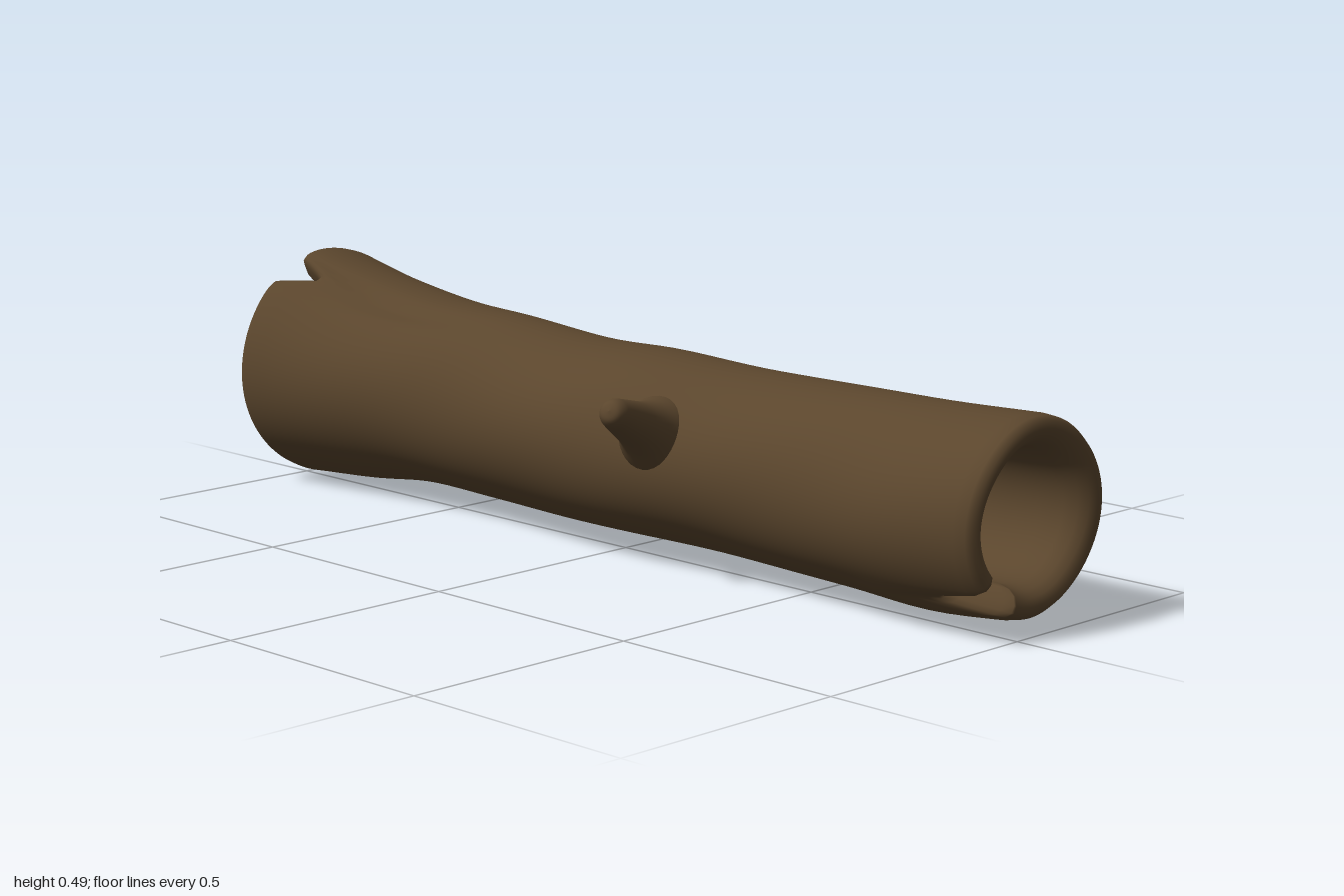
import * as THREE from 'three';

const bark = new THREE.MeshStandardMaterial({ color: 0x5b462d });
bark.name = 'bark brown';

// Outer limits of the trunk along z: left, right, bottom, top
const stations = [-1, -0.8, -0.6, -0.4, -0.15, 0.05, 0.3, 0.6, 0.8, 1];
const limits = [
  -0.19, 0.302, 0.0, 0.5,
  -0.165, 0.288, 0.013, 0.455,
  -0.14, 0.265, 0.033, 0.428,
  -0.12, 0.247, 0.027, 0.42,
  -0.137, 0.247, 0.028, 0.402,
  -0.15, 0.247, 0.03, 0.408,
  -0.13, 0.246, 0.03, 0.396,
  -0.128, 0.244, 0.02, 0.4,
  -0.143, 0.243, 0.017, 0.402,
  -0.135, 0.25, 0.032, 0.408,
];
const spline = new THREE.CubicInterpolant(stations, limits, 4, new Float32Array(4));

const angleGap = (a, b) => Math.atan2(Math.sin(a - b), Math.cos(a - b));
const bell = (d, width) => Math.exp(-((d / width) ** 2));
const FRONT_SPLIT = 4.05, BACK_SPLIT = 2.04;

// Dents, ridges and creases added to the radius
function relief(a, z, inner) {
  const back = THREE.MathUtils.smoothstep(-z, 0.3, 1);
  let d = -0.024 * back * bell(angleGap(a, BACK_SPLIT), 0.16);
  if (inner) return d - 0.015 * back * bell(angleGap(a, BACK_SPLIT), 0.3);
  d -= 0.04 * bell(angleGap(a, -0.42), 0.34) * bell(z + 0.03, 0.17);
  d += 0.032 * bell(angleGap(a, -0.95), 0.2) * bell(z + 0.03, 0.15);
  d -= 0.01 * bell(angleGap(a, 0.82), 0.1) * bell(z, 0.4);
  d += 0.006 * bell(angleGap(a, 0.5), 0.18) * bell(z, 0.45);
  return d + 0.002 * Math.sin(3 * a + 5 * z) * Math.sin(7 * z + a);
}

// V-shaped split at each end, pulled in along z
function split(a, z) {
  const [centre, width, depth] = z > 0 ? [FRONT_SPLIT, 0.22, 0.12] : [BACK_SPLIT, 0.2, 0.09];
  const v = THREE.MathUtils.clamp(1.25 * (1 - Math.abs(angleGap(a, centre)) / width), 0, 1);
  return -Math.sign(z) * depth * v * THREE.MathUtils.smoothstep(Math.abs(z), 0.6, 1);
}

// Hollow trunk: one closed sweep over bark, back lip, bore and front lip
function trunkGeometry() {
  const rows = []; // [z, inset from the bark, is bore]
  const n = 48;
  for (let i = 0; i <= n; i++) rows.push([0.96 - (1.93 * i) / n, 0, false]);
  rows.push([-0.985, 0.003, false], [-0.994, 0.012, false], [-0.995, 0.022, false],
    [-0.99, 0.034, true], [-0.975, 0.043, true], [-0.94, 0.05, true]);
  for (let i = 0; i <= 30; i++) {
    const z = -0.9 + (1.8 * i) / 30;
    rows.push([z, 0.053 + 0.013 * THREE.MathUtils.smoothstep(z, -0.9, -0.3), true]);
  }
  rows.push([0.95, 0.063, true], [0.975, 0.054, true], [0.99, 0.042, true],
    [0.998, 0.026, false], [0.997, 0.012, false], [0.985, 0.003, false]);

  const segments = 160, position = [], index = [];
  rows.forEach(([z, inset, inner], i) => {
    const [left, right, bottom, top] = spline.evaluate(z);
    for (let j = 0; j < segments; j++) {
      const a = (j / segments) * Math.PI * 2;
      const r = relief(a, z, inner) - inset;
      position.push(
        (left + right) / 2 + ((right - left) / 2 + r) * Math.cos(a),
        (bottom + top) / 2 + ((top - bottom) / 2 + r) * Math.sin(a),
        z + split(a, z) + 0.004 * Math.sin(3 * a + 1) * THREE.MathUtils.smoothstep(Math.abs(z), 0.9, 1));
      const next = (j + 1) % segments, row = i * segments, row2 = ((i + 1) % rows.length) * segments;
      index.push(row + j, row2 + j, row + next, row + next, row2 + j, row2 + next);
    }
  });
  const g = new THREE.BufferGeometry();
  g.setAttribute('position', new THREE.Float32BufferAttribute(position, 3));
  g.setIndex(index);
  g.computeVertexNormals();
  return g;
}

// Broken branch: tapered stub with a flared root and rounded tip
function branch() {
  const root = new THREE.Vector3(-0.1, 0.275, 0.185);
  const tip = new THREE.Vector3(-0.304, 0.362, 0.262);
  const axis = tip.clone().sub(root);
  const length = axis.length();
  const outline = [[0.078, 0], [0.07, 0.1], [0.056, 0.25], [0.046, 0.42], [0.039, 0.62],
    [0.032, 0.82], [0.027, 0.92], [0.017, 0.98], [0, 1]];
  const curve = new THREE.SplineCurve(outline.map(([r, t]) => new THREE.Vector2(r, t * length)));
  const points = curve.getPoints(32);
  points.forEach((p) => { p.x = Math.max(p.x, 0); });
  const mesh = new THREE.Mesh(new THREE.LatheGeometry(points, 32), bark);
  mesh.position.copy(root);
  mesh.quaternion.setFromUnitVectors(new THREE.Vector3(0, 1, 0), axis.normalize());
  mesh.name = 'branchStub';
  return mesh;
}

export function createModel() {
  const group = new THREE.Group();
  group.name = 'hollowLog';
  const trunk = new THREE.Mesh(trunkGeometry(), bark);
  trunk.name = 'trunk';
  group.add(trunk, branch());
  return group;
}
